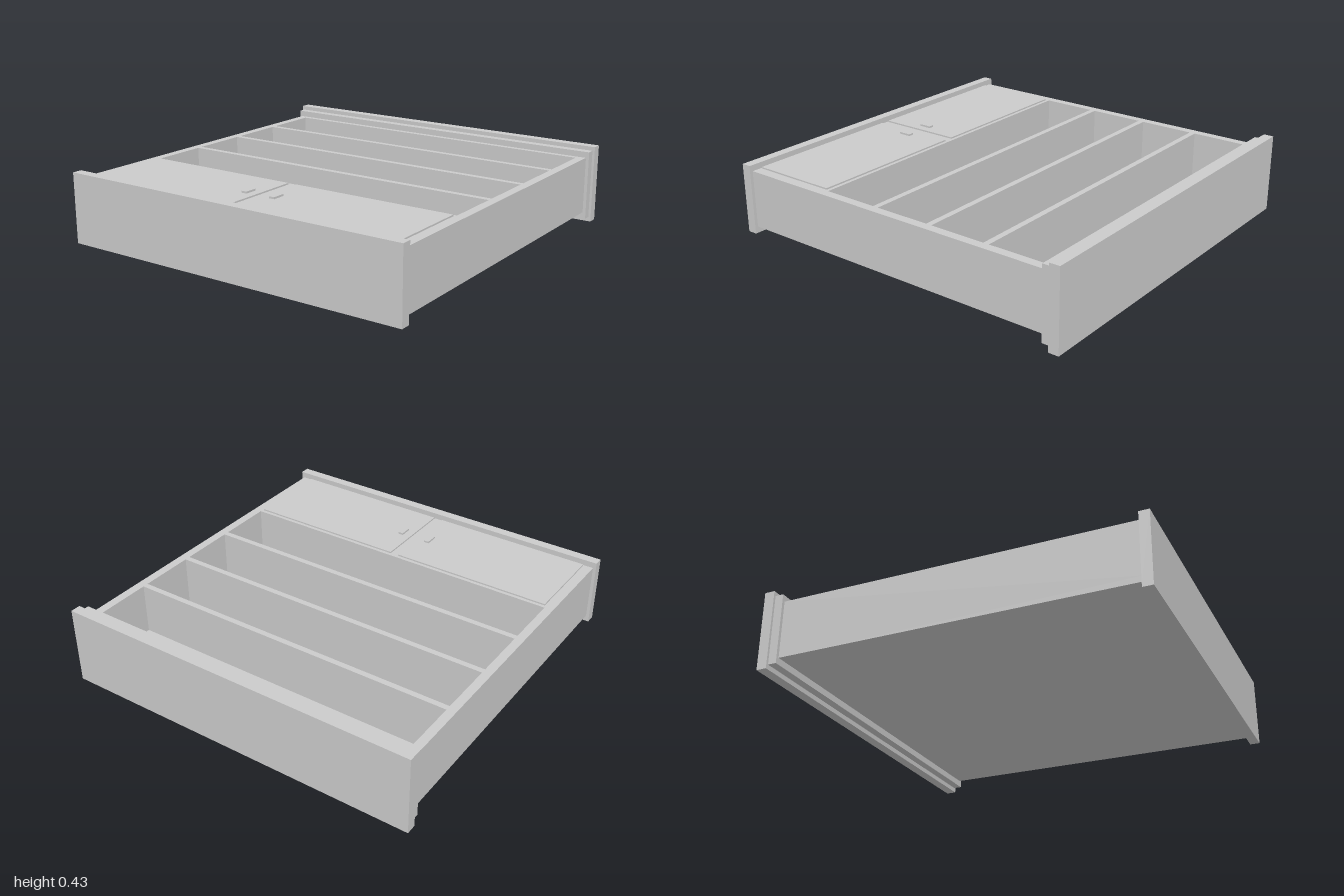
import * as THREE from 'three';

// A bookcase lying on its back: the open shelves face +y, the plinth faces +z.
export function createModel() {
  const group = new THREE.Group();
  group.name = 'bookcase';
  const material = new THREE.MeshStandardMaterial({ color: 0xcccccc });

  function add(name, geometry) {
    const mesh = new THREE.Mesh(geometry, material);
    mesh.name = name;
    group.add(mesh);
    return mesh;
  }

  // Box given by its limits on each axis
  function box(name, x0, x1, y0, y1, z0, z1) {
    const mesh = add(name, new THREE.BoxGeometry(x1 - x0, y1 - y0, z1 - z0));
    mesh.position.set((x0 + x1) / 2, (y0 + y1) / 2, (z0 + z1) / 2);
  }

  // Rectangle in plan; the shape's y axis becomes -z
  function rect(path, x, z0, z1) {
    path.moveTo(-x, -z1);
    path.lineTo(x, -z1);
    path.lineTo(x, -z0);
    path.lineTo(-x, -z0);
    path.closePath();
    return path;
  }

  // Carcass with four open compartments, closed by the back panel
  const plan = rect(new THREE.Shape(), 0.97, -0.9, 0.947);
  for (let i = 0; i < 4; i++) {
    const z0 = -0.87 + i * 0.336;
    plan.holes.push(rect(new THREE.Path(), 0.923, z0, z0 + 0.305));
  }
  const carcass = new THREE.ExtrudeGeometry(plan, { depth: 0.28, bevelEnabled: false });
  carcass.rotateX(-Math.PI / 2);
  carcass.translate(0, 0.09, 0);
  add('carcass', carcass);
  box('backPanel', -0.97, 0.97, 0.06, 0.09, -0.9, 0.947);

  // Plinth and stepped cornice
  box('plinth', -0.987, 0.987, 0.025, 0.403, 0.947, 1);
  box('lowerCornice', -0.987, 0.987, 0.025, 0.403, -0.945, -0.9);
  box('upperCornice', -1, 1, 0, 0.425, -1, -0.945);

  // Pair of cupboard doors with handles
  for (const [side, s] of [['left', 1], ['right', -1]]) {
    const span = (a, b) => (s > 0 ? [a, b] : [-b, -a]);
    box(side + 'Door', ...span(0.025, 0.915), 0.37, 0.378, 0.462, 0.94);
    box(side + 'Handle', ...span(0.07, 0.1), 0.378, 0.388, 0.662, 0.732);
  }
  return group;
}
